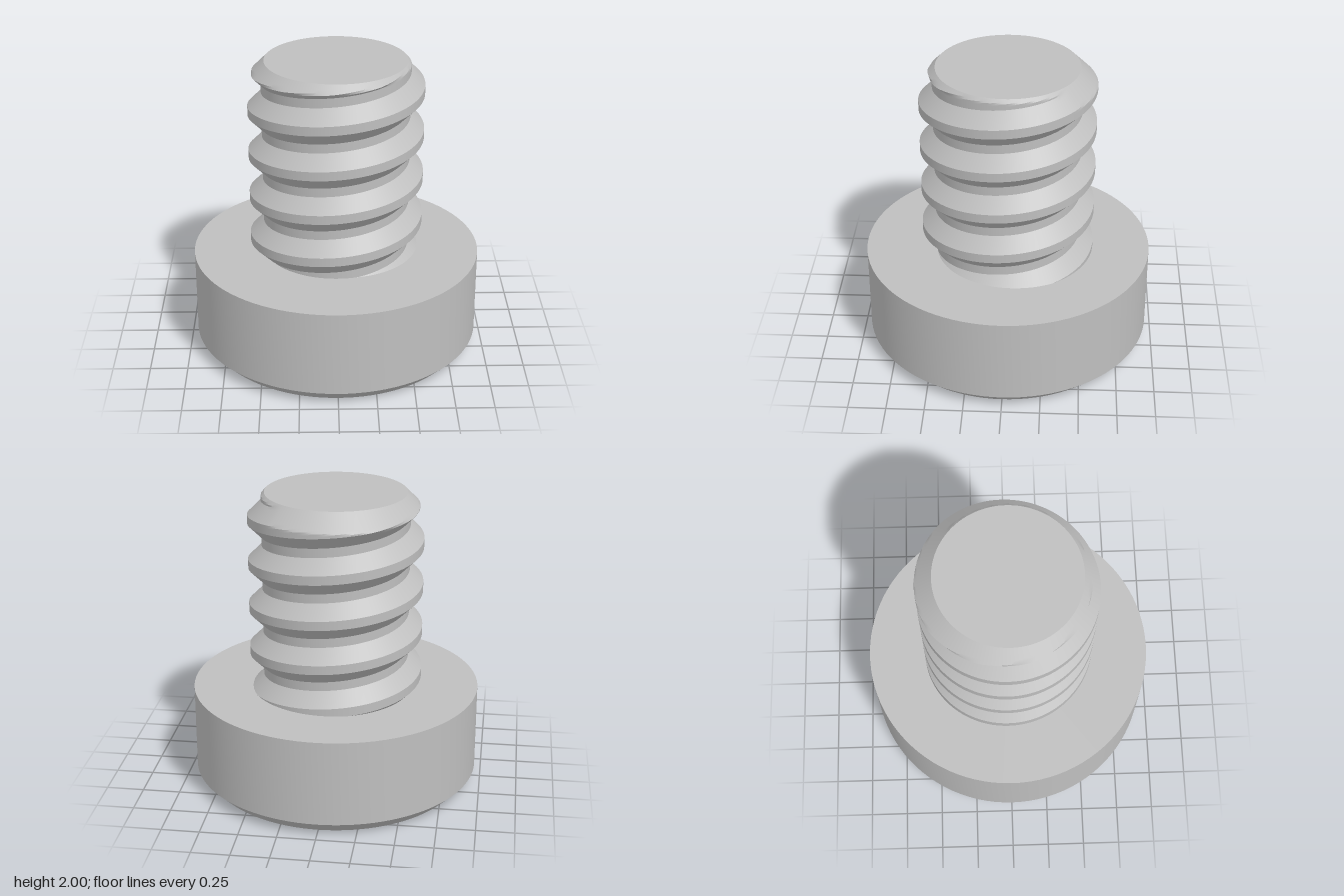
import * as THREE from 'three';
import { toCreasedNormals } from 'three/addons/utils/BufferGeometryUtils.js';

const HEAD_R = 0.96, HEAD_TOP = 0.665, BEVEL = 0.088;
const SOCKET_R = 0.445, SOCKET_DEPTH = 0.48;
const TIP_R = 0.465, TOP = 2;
const ROOT_R = 0.487, CREST_R = 0.577, PITCH = 0.302, FLAT = 0.061;
const CREST_Y = 1.815; // height of a crest centre on the +x side

const steel = new THREE.MeshStandardMaterial({ color: 0xbfbfbf, side: THREE.DoubleSide });
steel.name = 'steel grey';

function addPart(group, name, geometry) {
  const mesh = new THREE.Mesh(geometry, steel);
  mesh.name = name;
  group.add(mesh);
}

function lathe(points, segments, phiStart = 0) {
  const profile = points.map(([r, y]) => new THREE.Vector2(r, y));
  return toCreasedNormals(new THREE.LatheGeometry(profile, segments, phiStart), 0.5);
}

// Thread radius from the height above or below the nearest crest centre
function threadRadius(h) {
  const d = Math.abs(h - PITCH * Math.round(h / PITCH));
  const flank = PITCH / 2 - FLAT;
  const t = THREE.MathUtils.clamp((d - FLAT / 2) / flank, 0, 1);
  return CREST_R + (ROOT_R - CREST_R) * t;
}

// Rows of points follow the right-handed helix, trimmed by the head and the tip chamfer
function threadGeometry() {
  const around = 144, steps = 6, turns = 6;
  const flank = PITCH / 2 - FLAT;
  const breaks = [0, FLAT, FLAT + flank, 2 * FLAT + flank, PITCH];
  const heights = [];
  for (let k = 0; k < turns; k++)
    for (let s = 0; s < 4; s++)
      for (let i = 0; i < steps; i++)
        heights.push((k - turns + 1) * PITCH - FLAT / 2 +
          THREE.MathUtils.lerp(breaks[s], breaks[s + 1], i / steps));
  const point = (h, j) => {
    const a = (j / around) * Math.PI * 2;
    const lift = CREST_Y + (PITCH * j) / around;
    const y = THREE.MathUtils.clamp(h + lift, HEAD_TOP, TOP);
    const r = Math.min(threadRadius(y - lift), TIP_R + TOP - y);
    return new THREE.Vector3(r * Math.cos(a), y, -r * Math.sin(a));
  };
  const positions = [];
  const triangle = (a, b, c) => {
    const area = b.clone().sub(a).cross(c.clone().sub(a)).length();
    if (area > 1e-9) for (const p of [a, b, c]) positions.push(p.x, p.y, p.z);
  };
  for (let i = 0; i < heights.length - 1; i++)
    for (let j = 0; j < around; j++) {
      const a = point(heights[i], j), b = point(heights[i], j + 1);
      const c = point(heights[i + 1], j + 1), d = point(heights[i + 1], j);
      triangle(a, b, c);
      triangle(a, c, d);
    }
  const geometry = new THREE.BufferGeometry();
  geometry.setAttribute('position', new THREE.Float32BufferAttribute(positions, 3));
  return toCreasedNormals(geometry, 0.5);
}

export function createModel() {
  const model = new THREE.Group();
  model.name = 'socketScrew';

  // Head: bevelled lower rim, straight side and flat shoulder
  addPart(model, 'head', lathe(
    [[HEAD_R - BEVEL, 0], [HEAD_R, BEVEL], [HEAD_R, HEAD_TOP], [0, HEAD_TOP]], 96));

  // Underside of the head with a hexagonal opening
  const face = new THREE.Shape().absarc(0, 0, HEAD_R - BEVEL, 0, Math.PI * 2);
  const corners = [];
  for (let i = 0; i < 6; i++) {
    const a = (-i * Math.PI) / 3;
    corners.push(new THREE.Vector2(SOCKET_R * Math.cos(a), SOCKET_R * Math.sin(a)));
  }
  face.holes.push(new THREE.Path(corners));
  addPart(model, 'headFace', new THREE.ShapeGeometry(face, 48).rotateX(Math.PI / 2));

  // Hexagonal socket, seen from inside
  addPart(model, 'hexSocket', lathe(
    [[0, SOCKET_DEPTH], [SOCKET_R, SOCKET_DEPTH], [SOCKET_R, 0]], 6, Math.PI / 2));

  // Threaded shank and its flat tip
  addPart(model, 'thread', threadGeometry());
  addPart(model, 'tip', new THREE.CircleGeometry(TIP_R, 144).rotateX(-Math.PI / 2).translate(0, TOP, 0));

  return model;
}
